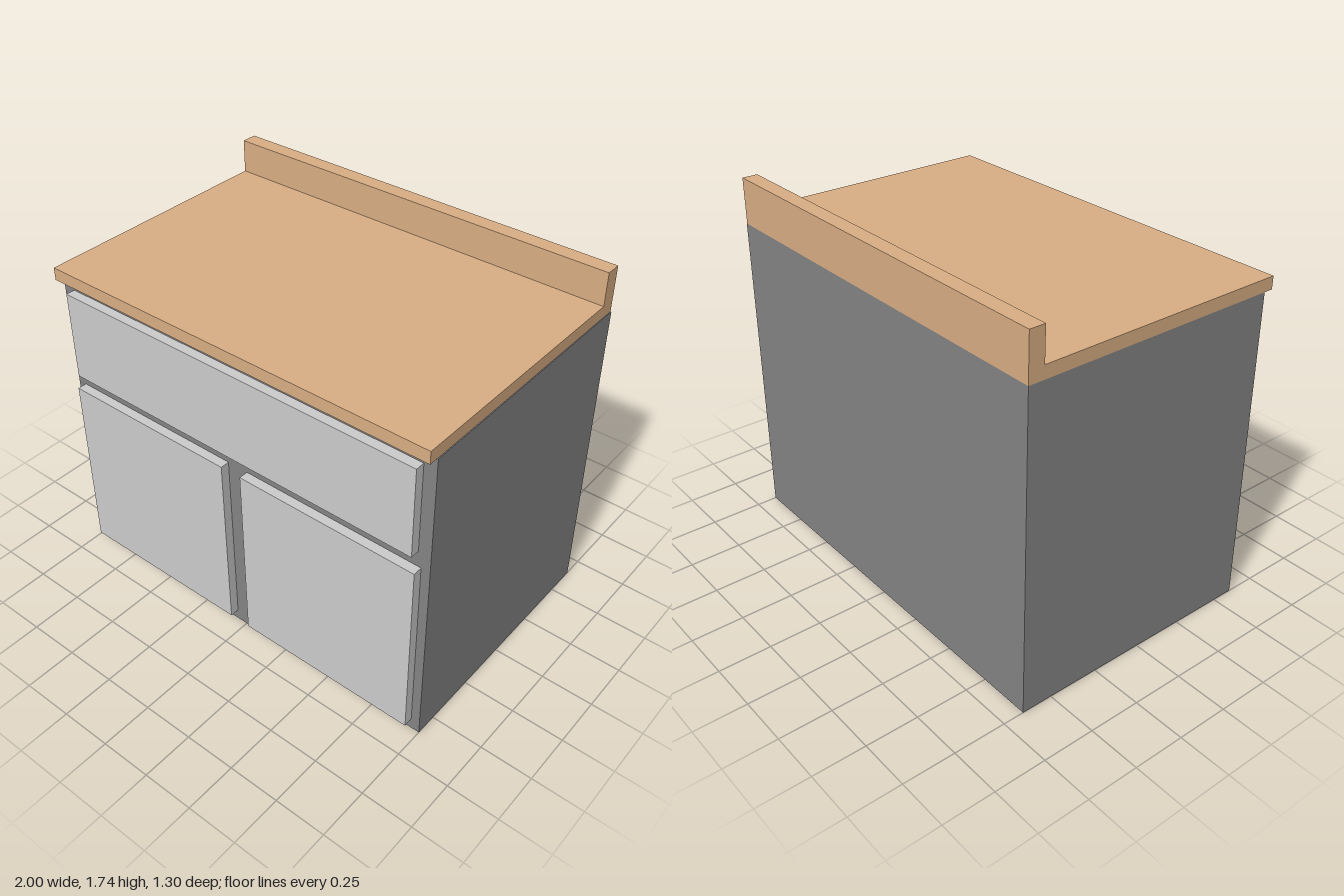
import * as THREE from 'three';

const cabinetGrey = new THREE.MeshStandardMaterial({ color: 0x848484 });
const panelGrey = new THREE.MeshStandardMaterial({ color: 0xcccccc });
const wood = new THREE.MeshStandardMaterial({ color: 0xd8ad83 });

// Box given by its minimum and maximum corners
function box(name, material, [x0, y0, z0], [x1, y1, z1]) {
  const mesh = new THREE.Mesh(new THREE.BoxGeometry(x1 - x0, y1 - y0, z1 - z0), material);
  mesh.position.set((x0 + x1) / 2, (y0 + y1) / 2, (z0 + z1) / 2);
  mesh.name = name;
  return mesh;
}

export function createModel() {
  const group = new THREE.Group();
  group.name = 'counterCabinet';
  const back = -0.65, face = 0.605, front = 0.65, top = 1.52;

  // Cabinet carcass
  group.add(box('cabinetBody', cabinetGrey, [-1, 0, back], [1, top, face]));

  // Wide drawer front above a pair of doors
  group.add(box('drawerFront', panelGrey, [-0.94, 1.035, face], [0.94, 1.47, front]));
  group.add(box('rightDoor', panelGrey, [-0.957, 0.055, face], [-0.053, 0.957, front]));
  group.add(box('leftDoor', panelGrey, [0.053, 0.055, face], [0.957, 0.957, front]));

  // Worktop and rear upstand: one L-shaped profile swept along x
  const profile = new THREE.Shape([
    [-front, top], [-back, top], [-back, 1.74], [0.575, 1.74], [0.575, 1.58], [-front, 1.58],
  ].map(([x, y]) => new THREE.Vector2(x, y)));
  const geometry = new THREE.ExtrudeGeometry(profile, { depth: 1.996, bevelEnabled: false });
  geometry.rotateY(Math.PI / 2); // profile x becomes -z, depth becomes x
  const worktop = new THREE.Mesh(geometry, wood);
  worktop.position.x = -1;
  worktop.name = 'worktop';
  group.add(worktop);

  return group;
}
